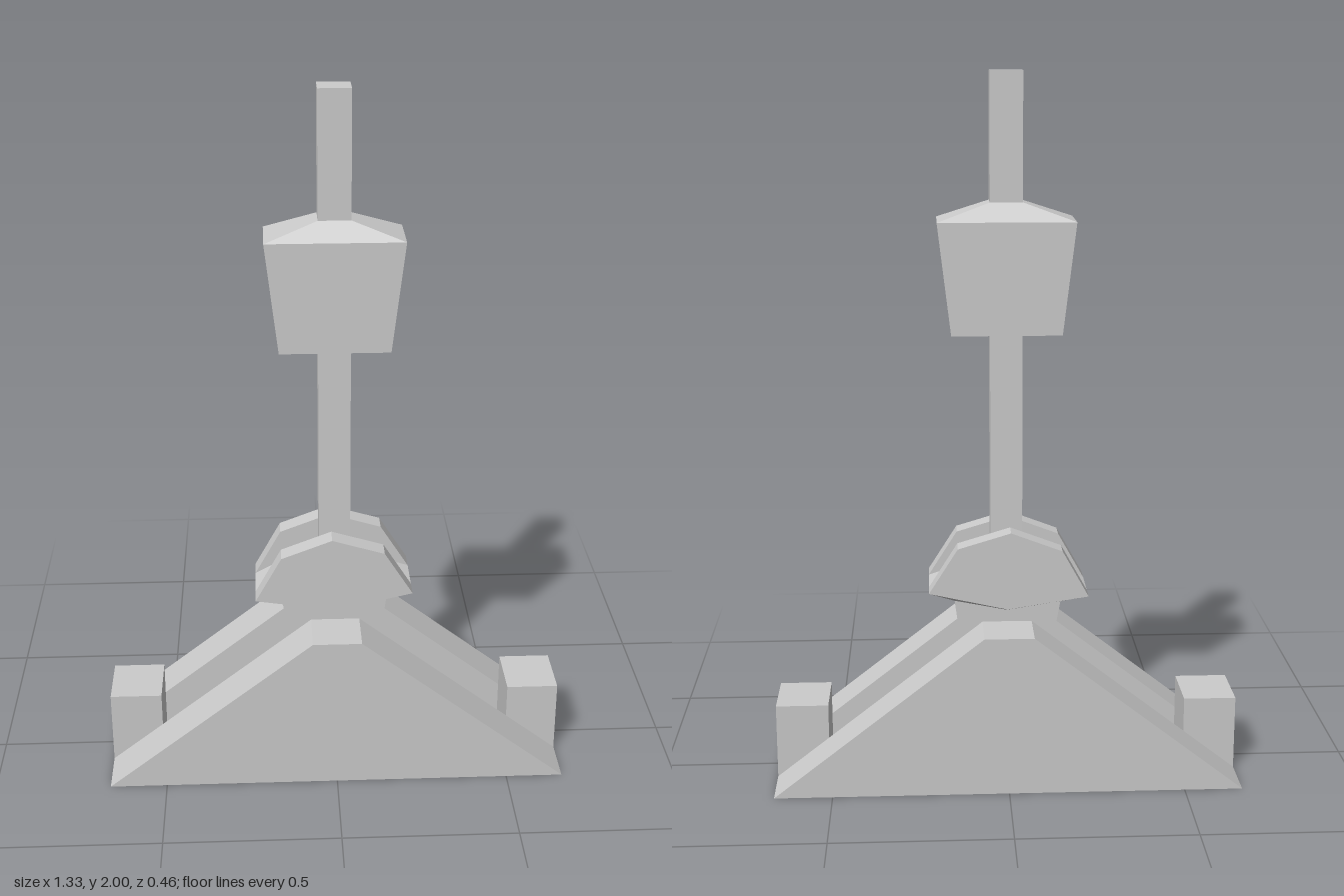
import * as THREE from 'three';

const material = new THREE.MeshStandardMaterial({ color: 0xcccccc, flatShading: true, side: THREE.DoubleSide });

// Skin a series of equal-length rings; optionally close each ring and cap the ends
function loft(rings, { closed = true, startCap = false, endCap = false } = {}) {
  const pos = [];
  const tri = (a, b, c) => pos.push(...a, ...b, ...c);
  const n = rings[0].length;
  for (let r = 0; r < rings.length - 1; r++) {
    for (let i = 0; i < (closed ? n : n - 1); i++) {
      const j = (i + 1) % n;
      tri(rings[r][i], rings[r][j], rings[r + 1][j]);
      tri(rings[r][i], rings[r + 1][j], rings[r + 1][i]);
    }
  }
  const first = rings[0], last = rings[rings.length - 1];
  for (let i = 1; i < n - 1; i++) {
    if (startCap) tri(first[0], first[i + 1], first[i]);
    if (endCap) tri(last[0], last[i], last[i + 1]);
  }
  const geo = new THREE.BufferGeometry();
  geo.setAttribute('position', new THREE.Float32BufferAttribute(pos, 3));
  geo.computeVertexNormals();
  return geo;
}

// Sweep an [x, y] profile (counter-clockwise) from z0 to z1
const sweep = (profile, z0, z1, options) =>
  loft([z0, z1].map(z => profile.map(([x, y]) => [x, y, z])), options);

// Horizontal rectangle used as a ring
const rect = (hx, y, hz, cx = 0) =>
  [[cx + hx, y, hz], [cx + hx, y, -hz], [cx - hx, y, -hz], [cx - hx, y, hz]];

export function createModel() {
  const group = new THREE.Group();
  const add = (name, geometry) => {
    const mesh = new THREE.Mesh(geometry, material);
    mesh.name = name;
    group.add(mesh);
    return mesh;
  };
  const solid = { startCap: true, endCap: true };

  // Hollow base: two side plates with a lower ramp between them, open underneath
  const plate = [[0.665, 0], [0.07, 0.465], [-0.07, 0.465], [-0.665, 0]];
  const ramp = [[0.515, 0], [0.075, 0.34], [-0.075, 0.34], [-0.515, 0]];
  add('frontPlate', sweep(plate, 0.087, 0.23, { closed: false, ...solid }));
  add('backPlate', sweep(plate, -0.23, -0.087, { closed: false, ...solid }));
  add('ramp', sweep(ramp, -0.087, 0.087, { closed: false }));

  // End stops
  for (const [name, side] of [['leftStop', 1], ['rightStop', -1]]) {
    add(name, loft([0, 0.217].map(y => rect(0.075, y, 0.087, side * 0.59)), { endCap: true }));
  }

  // Pivot hub resting on the ramp
  add('hub', sweep([[-0.07, 0.34], [0.07, 0.34], [0.135, 0.42], [0.15, 0.53], [-0.155, 0.53], [-0.135, 0.42]],
    -0.075, 0.075, solid));

  // Cradle: floor, two cheeks and a sloping underside
  const floor = [[0, 0.51], [0.222, 0.56], [0.14, 0.587], [-0.15, 0.587], [-0.23, 0.545]];
  const cheek = [[0, 0.51], [0.222, 0.56], [0.14, 0.69], [-0.01, 0.735], [-0.155, 0.68], [-0.23, 0.545]];
  add('cradleFloor', sweep(floor, -0.056, 0.056, solid));
  add('frontCheek', sweep(cheek, 0.056, 0.114, solid));
  add('backCheek', sweep(cheek, -0.114, -0.056, solid));
  const skirtRing = (left, mid, right, z) => [
    [...left, z], [...left, -z], [...mid, -z], [...right, -z], [...right, z], [...mid, z]];
  add('cradleUnderside', loft([
    skirtRing([0.15, 0.525], [0, 0.495], [-0.155, 0.52], 0.075),
    skirtRing([0.222, 0.56], [0, 0.51], [-0.23, 0.545], 0.114),
  ]));

  // Upright arm
  const arm = add('arm', new THREE.BoxGeometry(0.09, 1.4, 0.082));
  arm.position.y = 1.3;

  // Tapered sliding weight with a sloped top
  add('weight', loft([
    rect(0.153, 1.29, 0.082), rect(0.19, 1.6, 0.082), rect(0.045, 1.65, 0.041),
  ], solid));

  return group;
}
